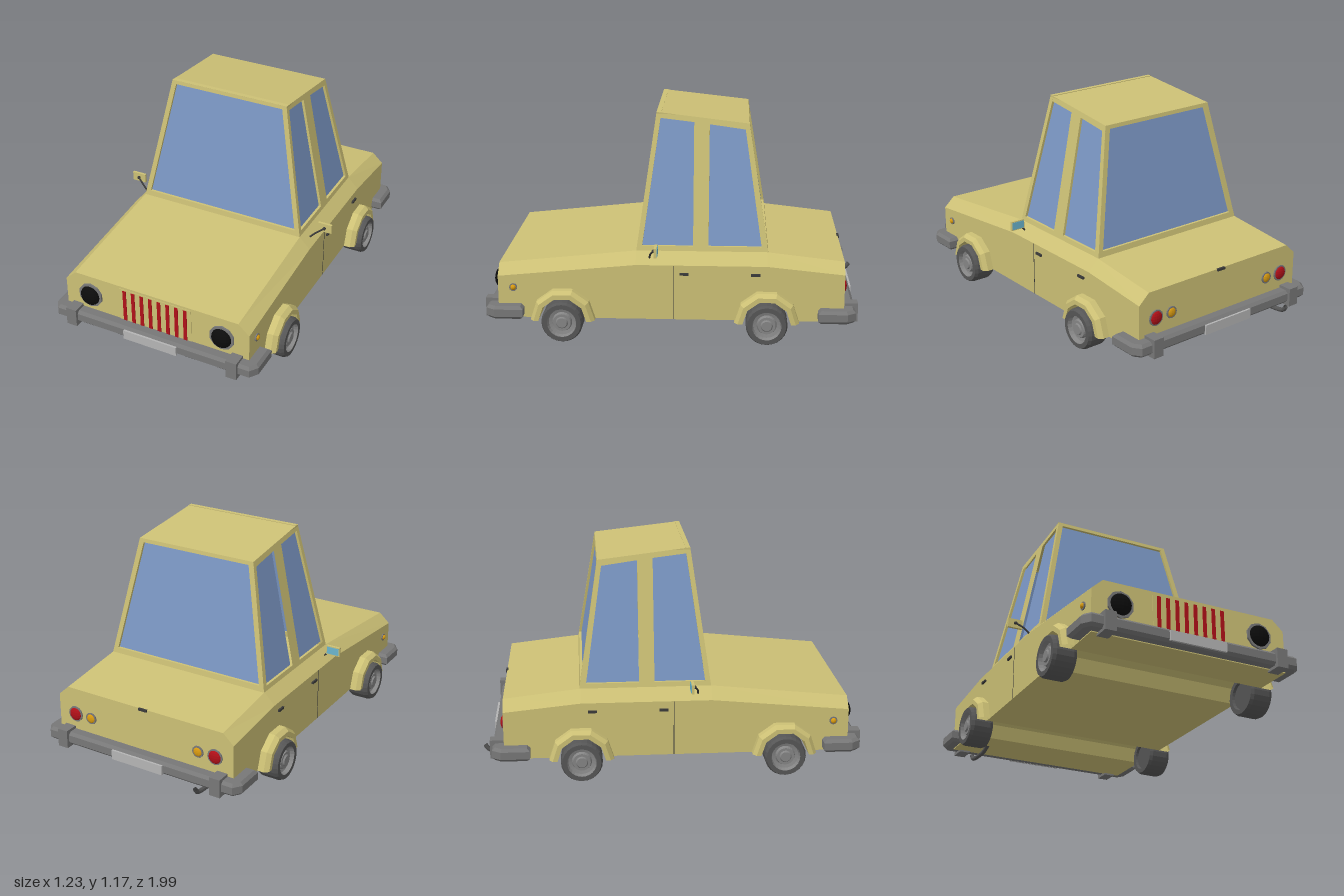
import * as THREE from 'three';

const paint = (color, side = THREE.FrontSide) => new THREE.MeshStandardMaterial({ color, flatShading: true, side });
const V = (x, y, z) => new THREE.Vector3(x, y, z);
const shapeOf = pts => new THREE.Shape(pts.map(p => new THREE.Vector2(...p)));

export function createModel() {
  const car = new THREE.Group();
  car.name = 'car';
  const yellow = paint(0xccc075), yellowThin = paint(0xccc075, THREE.DoubleSide);
  const glass = paint(0x7b97c4, THREE.DoubleSide), grey = paint(0x777777), dark = paint(0x3a3a3a);
  const tyreMat = paint(0x565656), rimMat = paint(0x858585), black = paint(0x0c0c0c);
  const red = paint(0xb01018), amber = paint(0xd89a10), plateMat = paint(0xb4b4b4), mirrorMat = paint(0x6ab4cc);

  const add = (name, geo, mat, x = 0, y = 0, z = 0) => {
    const m = new THREE.Mesh(geo, mat);
    m.name = name;
    m.position.set(x, y, z);
    car.add(m);
    return m;
  };
  const box = (name, mat, w, h, d, x, y, z) => add(name, new THREE.BoxGeometry(w, h, d), mat, x, y, z);
  // side outline (z, y) extruded across the width
  const across = (pts, width) => new THREE.ExtrudeGeometry(shapeOf(pts), { depth: width, bevelEnabled: false })
    .translate(0, 0, -width / 2).rotateY(-Math.PI / 2);

  const axles = [-0.485, 0.575];
  // stations: z, shoulder height, top height
  const stations = [[0.915, 0.335, 0.39], [0.195, 0.405, 0.465], [-0.485, 0.405, 0.465], [-0.885, 0.365, 0.42]];

  // lower body with wheel tunnels
  const outline = [[0.915, 0.11], ...stations.map(s => [s[0], s[1]]), [-0.885, 0.11]];
  for (const zc of axles) for (let k = 0; k <= 5; k++) {
    const a = Math.PI * (1 - k / 5);
    outline.push([zc + 0.125 * Math.cos(a), 0.11 + 0.125 * Math.sin(a)]);
  }
  add('lowerBody', across(outline, 1.07), yellow);

  // chamfered shoulders, bonnet and boot lid
  const rings = stations.map(([z, s, t]) => [V(-0.535, s, z), V(-0.475, t, z), V(0.475, t, z), V(0.535, s, z)]);
  const tri = [];
  const quad = (a, b, c, d) => tri.push(a, b, c, a, c, d);
  for (let i = 0; i < 3; i++) for (let j = 0; j < 3; j++) {
    quad(rings[i][j], rings[i][j + 1], rings[i + 1][j + 1], rings[i + 1][j]);
  }
  const [f, b] = [rings[0], rings[3]];
  quad(f[0], f[3], f[2], f[1]);
  quad(b[0], b[1], b[2], b[3]);
  const upper = new THREE.BufferGeometry().setFromPoints(tri);
  upper.computeVertexNormals();
  add('upperBody', upper, yellow);

  // cabin walls: flat frames with window holes, leaned inward
  const base = 0.465;
  const wall = (name, pts, windows, X, Y, Z, origin) => {
    const M = new THREE.Matrix4().makeBasis(X, Y, Z).setPosition(origin);
    const drop = list => list.map(([u, y]) => [u, y - base]);
    const frame = shapeOf(drop(pts));
    for (const w of windows) {
      frame.holes.push(shapeOf(drop(w)));
      add(name + 'Glass', new THREE.ShapeGeometry(shapeOf(drop(w))).translate(0, 0, -0.014).applyMatrix4(M), glass);
    }
    const geo = new THREE.ExtrudeGeometry(frame, { depth: 0.025, bevelEnabled: false });
    add(name + 'Frame', geo.translate(0, 0, -0.025).applyMatrix4(M), yellow);
  };
  wall('windscreen', [[-0.475, base], [0.475, base], [0.335, 1.17], [-0.335, 1.17]],
    [[[-0.442, 0.495], [0.442, 0.495], [0.312, 1.15], [-0.312, 1.15]]],
    V(1, 0, 0), V(0, 1, -0.142), V(0, 0, 1), V(0, base, 0.195));
  wall('rearWindow', [[-0.475, base], [0.475, base], [0.345, 1.115], [-0.345, 1.115]],
    [[[-0.442, 0.495], [0.442, 0.495], [0.32, 1.095], [-0.32, 1.095]]],
    V(-1, 0, 0), V(0, 1, 0.161), V(0, 0, -1), V(0, base, -0.49));
  for (const s of [1, -1]) {
    const flip = list => list.map(([z, y]) => [-s * z, y]);
    wall(s > 0 ? 'leftWindow' : 'rightWindow',
      flip([[0.195, base], [-0.49, base], [-0.385, 1.115], [0.095, 1.17]]),
      [flip([[0.165, 0.49], [-0.1, 0.49], [-0.1, 1.12], [0.075, 1.14]]),
        flip([[-0.18, 0.49], [-0.455, 0.49], [-0.365, 1.085], [-0.18, 1.11]])],
      V(0, 0, -s), V(-s * 0.199, 1, 0), V(s, 0, 0), V(s * 0.475, base, 0));
  }
  add('roof', across([[0.095, 1.17], [-0.385, 1.115], [-0.383, 1.095], [0.093, 1.15]], 0.674), yellow);

  // wheels and flared arches
  const lathe = (pts, n, start, len) => new THREE.LatheGeometry(pts.map(p => new THREE.Vector2(...p)), n, start, len);
  const tyre = [[0, -0.05], [0.07, -0.05], [0.076, -0.0625], [0.1, -0.0625], [0.108, -0.045], [0.108, 0.045], [0.1, 0.0625], [0.076, 0.0625]];
  const rim = [[0.076, 0.0625], [0.07, 0.04], [0.052, 0.035], [0.046, 0.052], [0.032, 0.052], [0.026, 0.06], [0, 0.06]];
  const flare = [[0.168, -0.01], [0.168, 0.035], [0.15, 0.058], [0.125, 0.058], [0.125, -0.01]];
  for (const s of [1, -1]) for (const z of axles) {
    const turn = -s * Math.PI / 2;
    add('tyre', lathe(tyre, 24).rotateZ(turn), tyreMat, s * 0.552, 0.108, z);
    add('wheelRim', lathe(rim, 24).rotateZ(turn), rimMat, s * 0.552, 0.108, z);
    add('wheelArch', lathe(flare, 5, s > 0 ? Math.PI : 0, Math.PI).rotateZ(turn), yellowThin, s * 0.535, 0.11, z);
  }

  // bumpers with overriders and number plates
  for (const [s, inner, outer] of [[1, 0.78, 0.975], [-1, 0.75, 0.945]]) {
    const e = 0.015;
    const pts = [[-0.595 + e, inner + e], [0.595 - e, inner + e], [0.595 - e, outer - 0.05], [0.555, outer - e], [-0.555, outer - e], [-0.595 + e, outer - 0.05]];
    const bar = new THREE.ExtrudeGeometry(shapeOf(pts.map(([x, z]) => [x, -s * z])),
      { depth: 0.07 - 2 * e, bevelSize: e, bevelThickness: e, bevelSegments: 1 });
    add('bumper', bar.rotateX(-Math.PI / 2), grey, 0, 0.115 + e, 0);
    box('numberPlate', plateMat, 0.31, 0.052, 0.012, 0, 0.145, s * (outer + 0.004));
    for (const x of [-0.47, 0.47]) box('overrider', grey, 0.06, 0.1, 0.09, x, 0.15, s * (outer - 0.03));
  }

  // round lamps facing along z (dir +1 or -1)
  const disc = (name, mat, r, depth, n, x, y, z) =>
    add(name, new THREE.CylinderGeometry(r, r, depth, n).rotateX(Math.PI / 2), mat, x, y, z);
  for (const s of [1, -1]) {
    disc('headlampRing', grey, 0.07, 0.02, 10, s * 0.385, 0.277, 0.915);
    const bulb = new THREE.SphereGeometry(0.056, 16, 10).scale(1, 1, 0.65);
    add('headlamp', bulb, black, s * 0.385, 0.277, 0.922);
    for (const [mat, r, x] of [[red, 0.036, 0.43], [amber, 0.025, 0.33]]) {
      disc('tailLampRing', grey, r + 0.007, 0.014, 12, s * x, 0.275, -0.885);
      add('tailLamp', new THREE.SphereGeometry(r, 14, 8).scale(1, 1, 0.4), mat, s * x, 0.275, -0.89);
    }
    const ring = new THREE.CylinderGeometry(0.021, 0.021, 0.012, 12).rotateZ(Math.PI / 2);
    add('indicatorRing', ring, grey, s * 0.536, 0.275, 0.835);
    add('indicator', new THREE.SphereGeometry(0.016, 12, 8), amber, s * 0.537, 0.275, 0.835);

    // door handles and door seam
    for (const z of [-0.056, -0.425]) box('doorHandle', dark, 0.014, 0.012, 0.048, s * 0.538, 0.36, z);
    box('doorSeam', dark, 0.002, 0.293, 0.004, s * 0.535, 0.257, -0.003);

    // door mirror on a bent stalk
    const stalk = new THREE.CatmullRomCurve3([V(s * 0.5, 0.43, 0.125), V(s * 0.535, 0.465, 0.118), V(s * 0.575, 0.493, 0.1)]);
    add('mirrorStalk', new THREE.TubeGeometry(stalk, 8, 0.005, 6), dark);
    add('mirrorJoint', new THREE.SphereGeometry(0.009, 10, 8), dark, s * 0.575, 0.493, 0.1);
    box('mirrorHousing', yellow, 0.08, 0.05, 0.014, s * 0.575, 0.493, 0.088);
    box('mirrorGlass', mirrorMat, 0.07, 0.04, 0.004, s * 0.575, 0.493, 0.08);
  }

  // grille
  box('grillePanel', yellow, 0.42, 0.2, 0.008, 0, 0.277, 0.914);
  for (let i = 0; i < 8; i++) box('grilleBar', red, 0.02, 0.19, 0.01, -0.178 + i * 0.0506, 0.275, 0.916);

  box('bootLatch', dark, 0.05, 0.012, 0.012, 0, 0.415, -0.886);

  // exhaust with upturned tip
  const pipe = new THREE.CatmullRomCurve3([V(-0.38, 0.118, -0.74), V(-0.38, 0.097, -0.79), V(-0.38, 0.097, -0.94), V(-0.38, 0.107, -0.975), V(-0.38, 0.13, -0.992)]);
  add('exhaustPipe', new THREE.TubeGeometry(pipe, 20, 0.012, 10), paint(0x555555, THREE.DoubleSide));

  return car;
}
